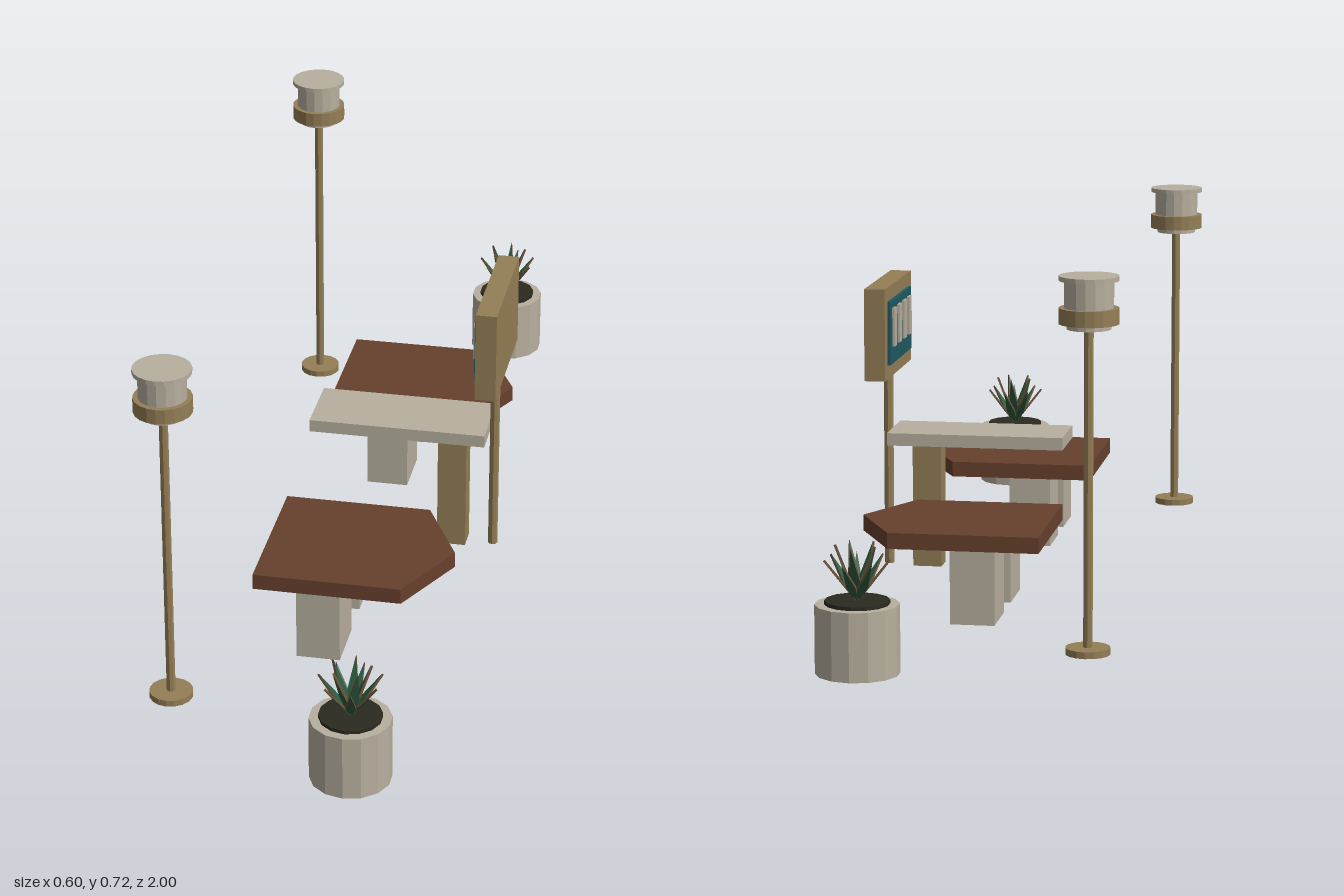
import * as THREE from 'three';

const mat = (name, color) => {
  const m = new THREE.MeshStandardMaterial({ color, flatShading: true });
  m.name = name;
  return m;
};

export function createModel() {
  const stone = mat('stone', 0xb8b09f);
  const brass = mat('brass', 0x947e56);
  const wood = mat('wood', 0x67402d);
  const teal = mat('teal screen', 0x1f5a62);
  const soilMat = mat('soil', 0x2b2a20);
  const leafGreen = mat('leaf green', 0x2c5a40);
  const leafEdge = mat('leaf edge', 0x6e5238);

  const model = new THREE.Group();
  model.name = 'streetSeating';

  const add = (parent, name, geometry, material, x = 0, y = 0, z = 0) => {
    const mesh = new THREE.Mesh(geometry, material);
    mesh.name = name;
    mesh.position.set(x, y, z);
    parent.add(mesh);
    return mesh;
  };
  // box from its minimum and maximum x and y, its centre z and its depth
  const box = (parent, name, material, x0, x1, y0, y1, z, d) =>
    add(parent, name, new THREE.BoxGeometry(x1 - x0, y1 - y0, d), material, (x0 + x1) / 2, (y0 + y1) / 2, z);
  // upright cylinder from y0 to y1
  const cyl = (parent, name, material, r, y0, y1, sides, x = 0, z = 0) =>
    add(parent, name, new THREE.CylinderGeometry(r, r, y1 - y0, sides), material, x, (y0 + y1) / 2, z);
  const group = (name, x, z) => {
    const g = new THREE.Group();
    g.name = name;
    g.position.set(x, 0, z);
    model.add(g);
    return g;
  };

  // pointed leaf blade with brown margins
  const leafShape = new THREE.Shape();
  leafShape.moveTo(-0.004, 0);
  leafShape.lineTo(-0.011, 0.045);
  leafShape.lineTo(0, 0.115);
  leafShape.lineTo(0.011, 0.045);
  leafShape.lineTo(0.004, 0);
  leafShape.closePath();
  const leafGeo = new THREE.ExtrudeGeometry(leafShape, { depth: 0.005, bevelEnabled: false });
  leafGeo.translate(0, 0, -0.0025);

  // five-sided bench top, pointed towards +x
  const topShape = new THREE.Shape([
    [-0.12, -0.162], [0.178, -0.162], [0.258, 0], [0.178, 0.162], [-0.12, 0.162],
  ].map(([x, y]) => new THREE.Vector2(x, y)));
  const topGeo = new THREE.ExtrudeGeometry(topShape, { depth: 0.032, bevelEnabled: false });
  topGeo.rotateX(-Math.PI / 2);

  for (const side of [1, -1]) {
    // bench
    const bench = group('bench', 0, side * 0.365);
    add(bench, 'benchTop', topGeo, wood, 0, 0.147, 0);
    for (const z of [-0.1, 0.1]) box(bench, 'benchLeg', stone, -0.033, 0.055, 0, 0.147, z, 0.118);

    // lamp
    const lamp = group('lamp', -0.243, side * 0.713);
    cyl(lamp, 'lampBase', brass, 0.043, 0, 0.013, 16);
    cyl(lamp, 'lampPole', brass, 0.009, 0.013, 0.62, 8);
    cyl(lamp, 'lampNeck', stone, 0.042, 0.62, 0.632, 16);
    cyl(lamp, 'lampCollar', brass, 0.057, 0.63, 0.66, 20);
    cyl(lamp, 'lampDrum', stone, 0.047, 0.66, 0.711, 16);
    cyl(lamp, 'lampCap', stone, 0.057, 0.711, 0.72, 20);

    // planter with spiky plant
    const planter = group('planter', 0.157, side * 0.921);
    cyl(planter, 'pot', stone, 0.079, 0, 0.131, 14);
    cyl(planter, 'soil', soilMat, 0.061, 0.129, 0.138, 14);
    const rings = [
      { count: 7, tilt: 0.66, size: 0.88, turn: 0.2 },
      { count: 5, tilt: 0.36, size: 0.99, turn: 0.55 },
    ];
    for (const { count, tilt, size, turn } of rings) {
      for (let i = 0; i < count; i++) {
        const leaf = add(planter, 'leaf', leafGeo, [leafGreen, leafEdge], 0, 0.136, 0);
        leaf.rotation.set(tilt, turn + (i * Math.PI * 2) / count, 0, 'YXZ');
        leaf.scale.setScalar(size);
      }
    }
  }

  // counter on its pedestal
  const counter = group('counter', 0, 0);
  box(counter, 'counterTop', stone, -0.1, 0.267, 0.264, 0.29, 0, 0.147);
  box(counter, 'pedestal', brass, 0.162, 0.222, 0, 0.264, 0, 0.05);

  // sign board facing -x
  const sign = group('sign', 0, 0);
  cyl(sign, 'signPost', brass, 0.01, 0, 0.41, 8, 0.277);
  box(sign, 'signPanel', brass, 0.256, 0.299, 0.41, 0.6, 0, 0.286);
  box(sign, 'signScreen', teal, 0.25, 0.256, 0.439, 0.571, 0, 0.23);
  for (let i = 0; i < 4; i++) {
    box(sign, 'signBar', stone, 0.245, 0.25, 0.475, 0.555, (i - 1.5) * 0.054, 0.026);
  }

  return model;
}
